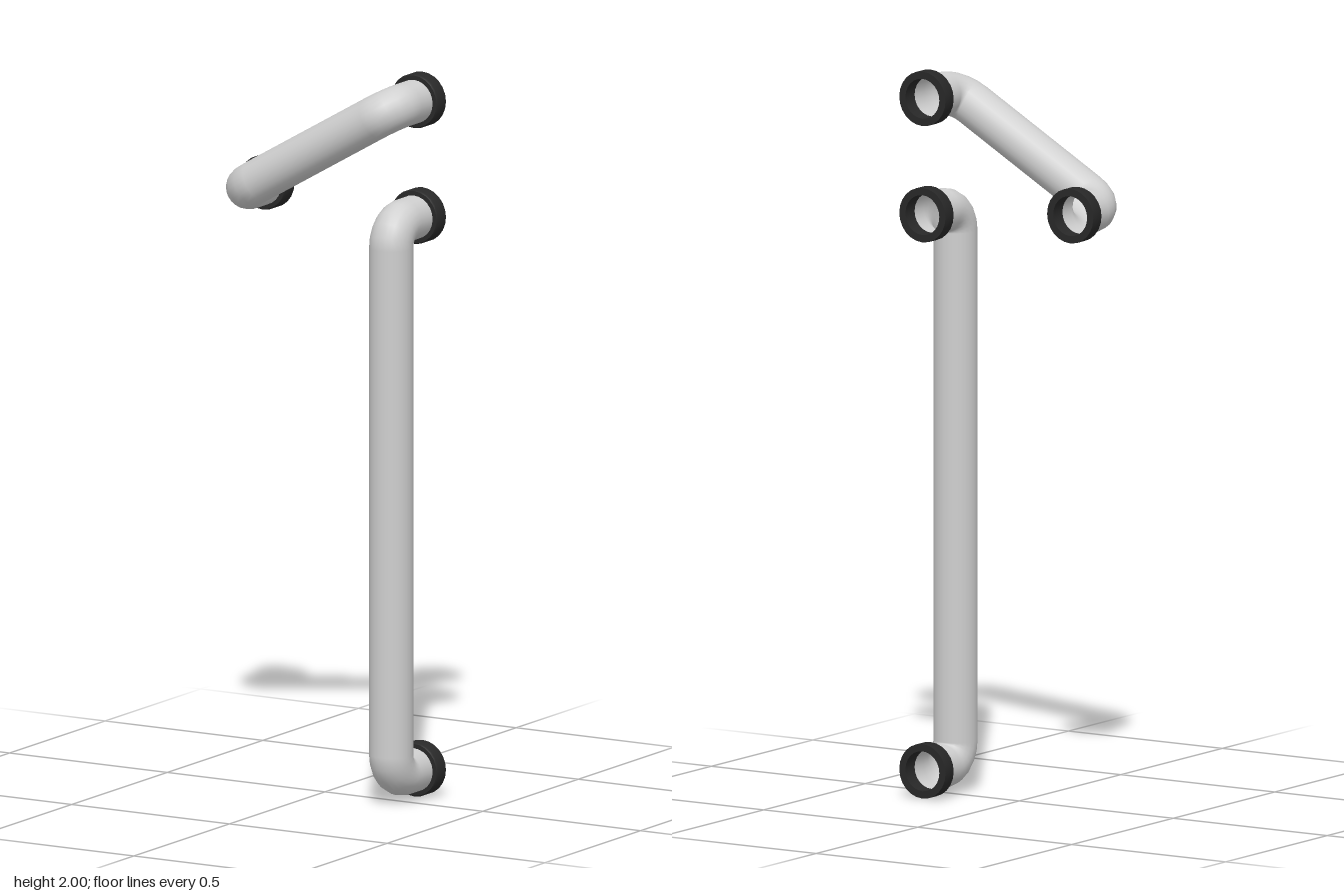
import * as THREE from 'three';
import { toCreasedNormals } from 'three/addons/utils/BufferGeometryUtils.js';

const R = 0.06;       // tube radius
const BEND = 0.064;   // centreline radius of the elbows
const BAR_Z = 0.05;   // bar centreline depth
const BACK = -0.113, FRONT = -0.068; // collar depth range
const SIDES = 24;

const tubeMaterial = new THREE.MeshStandardMaterial({ color: 0xcfcfcf, side: THREE.DoubleSide });
tubeMaterial.name = 'light grey tube';
const collarMaterial = new THREE.MeshStandardMaterial({ color: 0x282828 });
collarMaterial.name = 'black collar';

function addMesh(group, name, geometry, material) {
  const mesh = new THREE.Mesh(geometry, material);
  mesh.name = name;
  group.add(mesh);
  return mesh;
}

// Open mounting ring with a softened front edge
function collarGeometry() {
  const profile = [
    [0.055, -FRONT], [0.072, -FRONT], [0.075, -FRONT + 0.005], [0.075, -BACK],
    [0.055, -BACK], [0.055, -FRONT],
  ].map(([x, y]) => new THREE.Vector2(x, y));
  const ring = new THREE.LatheGeometry(profile, SIDES).rotateX(-Math.PI / 2);
  return toCreasedNormals(ring, 0.6);
}

// A bar running up from the origin, with an elbow, leg and collar at each end
function grabBar(name, length) {
  const group = new THREE.Group();
  group.name = name;

  const bar = addMesh(group, 'bar',
    new THREE.CylinderGeometry(R, R, length - 2 * BEND, SIDES, 1, true), tubeMaterial);
  bar.position.set(0, length / 2, BAR_Z);

  const legFront = BAR_Z - BEND, legBack = -0.085;
  for (const end of [-1, 1]) {
    const y = end > 0 ? length : 0;

    const elbow = addMesh(group, 'elbow',
      new THREE.TorusGeometry(BEND, R, SIDES, 5, Math.PI / 2)
        .rotateX(Math.PI / 2).rotateZ(end * Math.PI / 2), tubeMaterial);
    elbow.position.set(0, y - end * BEND, legFront);

    const leg = addMesh(group, 'leg',
      new THREE.CylinderGeometry(R, R, legFront - legBack, SIDES, 1, true)
        .rotateX(Math.PI / 2), tubeMaterial);
    leg.position.set(0, y, (legFront + legBack) / 2);

    addMesh(group, 'collar', collarGeometry(), collarMaterial).position.y = y;
  }
  return group;
}

export function createModel() {
  const model = new THREE.Group();
  model.name = 'grabBars';

  const upright = grabBar('uprightBar', 1.53);
  upright.position.set(0.24, 0.075, 0);

  // Shorter bar rising 30 degrees towards the model's left
  const slanted = grabBar('slantedBar', 0.48 / Math.cos(Math.PI / 6));
  slanted.position.set(-0.24, 1.648, 0);
  slanted.rotation.z = -Math.PI / 3;

  model.add(upright, slanted);
  return model;
}
